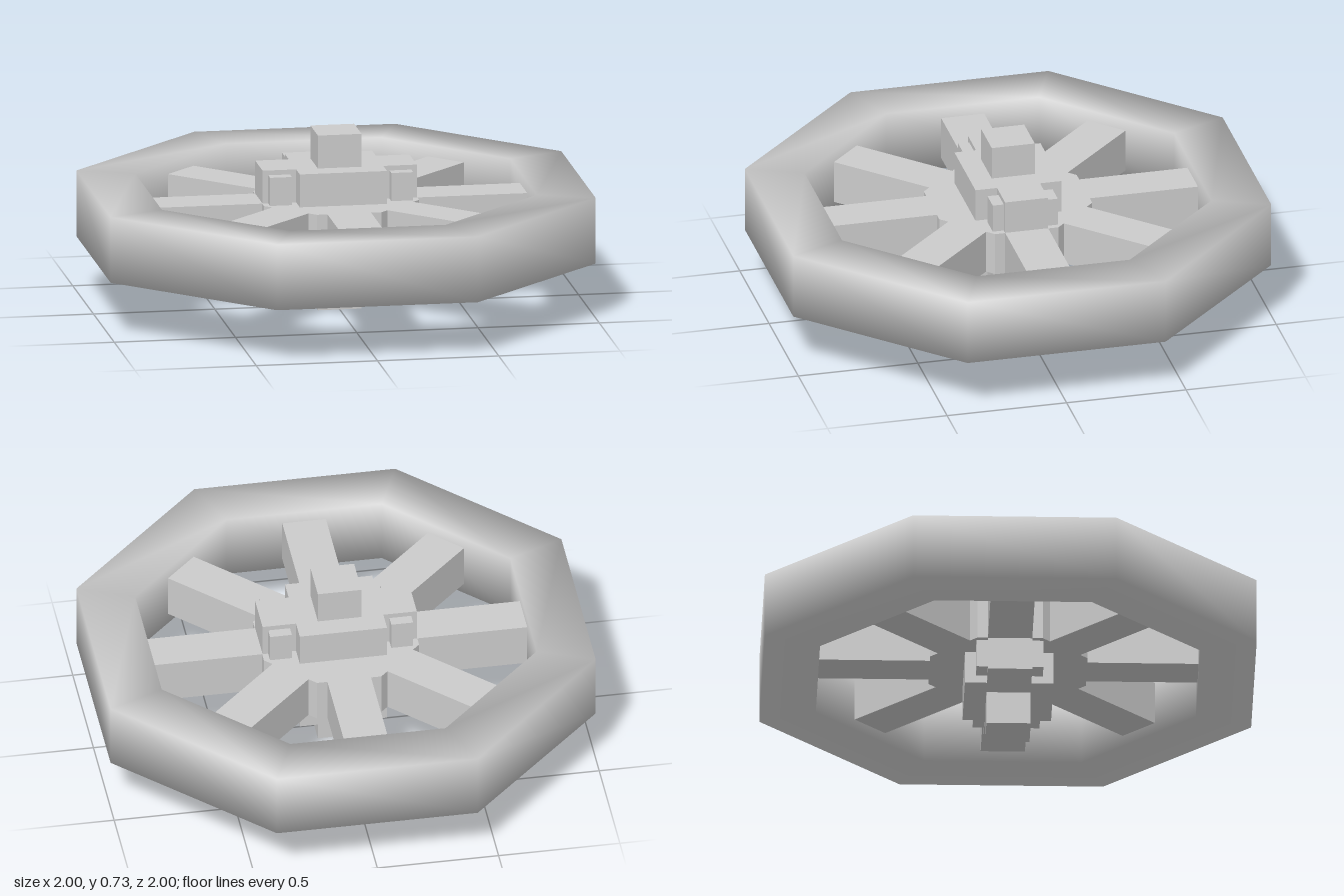
import * as THREE from 'three';
import { mergeVertices } from 'three/addons/utils/BufferGeometryUtils.js';

const MID = 0.365; // height of the wheel's middle plane

export function createModel() {
  const wheel = new THREE.Group();
  wheel.name = 'wheel';
  const smooth = new THREE.MeshStandardMaterial({ color: 0xcccccc });
  const flat = new THREE.MeshStandardMaterial({ color: 0xcccccc, flatShading: true });

  function add(name, geometry, material = flat) {
    const mesh = new THREE.Mesh(geometry, material);
    mesh.name = name;
    mesh.position.y = MID;
    wheel.add(mesh);
    return mesh;
  }
  const box = (name, w, h, d) => add(name, new THREE.BoxGeometry(w, h, d));

  // Octagonal rim: a closed rectangular section turned in eight steps
  const toCorner = 1 / Math.cos(Math.PI / 8);
  const outer = toCorner, inner = 0.773 * toCorner, half = 0.137;
  const section = [[inner, -half], [outer, -half], [outer, half], [inner, half], [inner, -half]]
    .map(([r, y]) => new THREE.Vector2(r, y));
  const turned = new THREE.LatheGeometry(section, 8, Math.PI / 8);
  turned.deleteAttribute('uv');
  turned.deleteAttribute('normal');
  const rimGeometry = mergeVertices(turned);
  rimGeometry.computeVertexNormals(); // soft shading across the rim's edges
  add('rim', rimGeometry, smooth);

  // Eight square spokes from the hub to the rim
  for (let i = 0; i < 8; i++) {
    const geometry = new THREE.BoxGeometry(0.575, 0.18, 0.18);
    geometry.translate(0.4875, 0, 0);
    add('spoke', geometry).rotation.y = i * Math.PI / 4;
  }

  // Octagonal hub core, level with the spokes
  const coreRadius = 0.32 * toCorner;
  add('hubCore', new THREE.CylinderGeometry(coreRadius, coreRadius, 0.18, 8, 1, false, Math.PI / 8));

  // Hub block, cross arm and square axle
  box('hubBlock', 0.36, 0.455, 0.36);
  box('hubArm', 0.636, 0.455, 0.18);
  box('axle', 0.18, 0.73, 0.18);

  // Pins through both ends of the cross arm
  for (const side of [-1, 1]) {
    box('hubPin', 0.09, 0.415, 0.272).position.x = side * 0.25;
  }

  return wheel;
}
